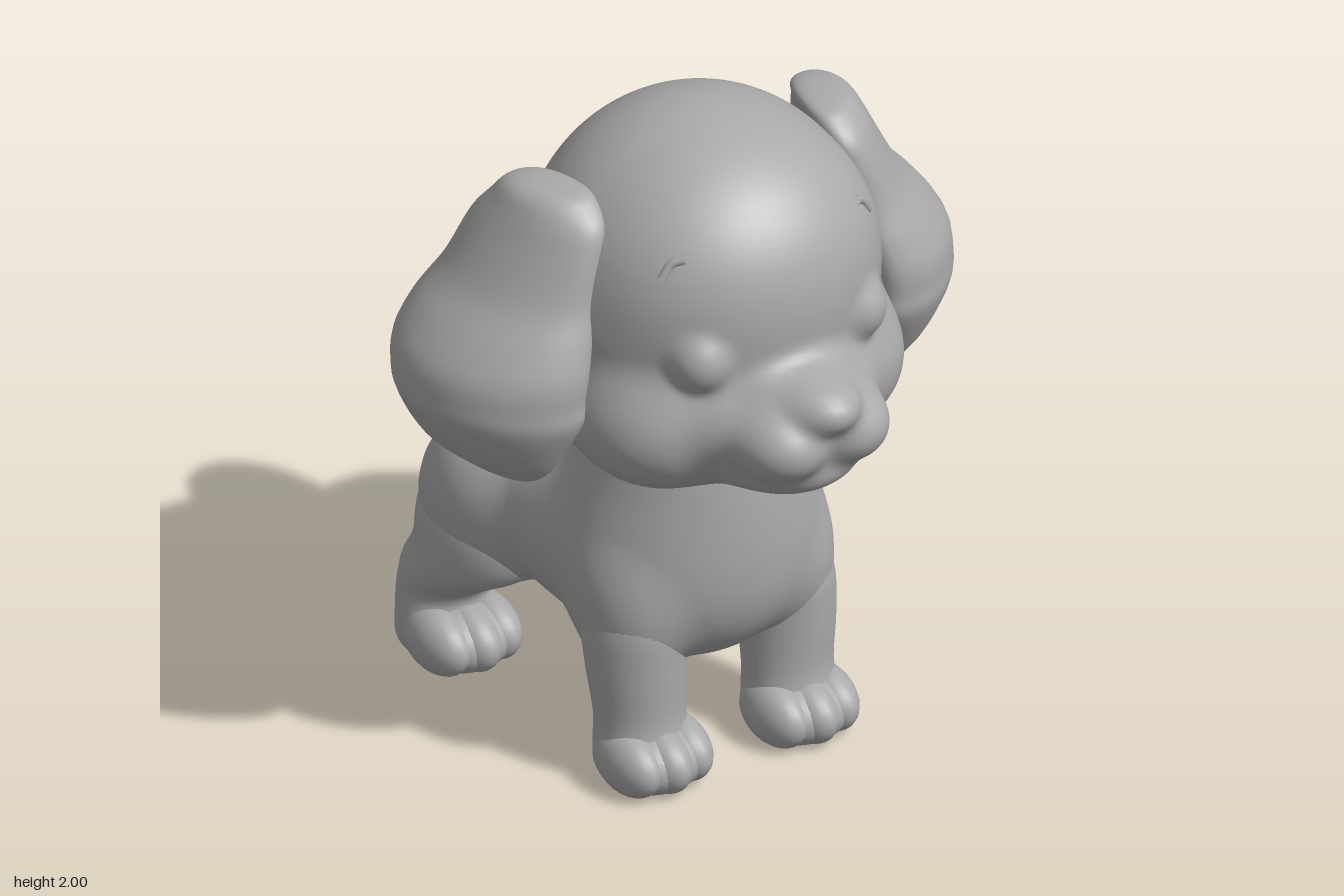
import * as THREE from 'three';
import { mergeVertices } from 'three/addons/utils/BufferGeometryUtils.js';

const clay = new THREE.MeshStandardMaterial({ color: 0xaaaaaa });
clay.name = 'grey clay';

// Smooth closed loft. Rows: [height, centreX, centreZ, radiusX, radiusZ]; side mirrors x, power < 1 squares the rings.
function loft(rows, side = 1, power = 1, segs = 40, steps = 5) {
  const centres = new THREE.CatmullRomCurve3(rows.map(r => new THREE.Vector3(side * r[1], r[0], r[2])), false, 'catmullrom', 0.5);
  const radii = new THREE.CatmullRomCurve3(rows.map(r => new THREE.Vector3(r[3], r[4], 0)), false, 'catmullrom', 0.5);
  const bend = v => Math.sign(v) * Math.abs(v) ** power;
  const n = (rows.length - 1) * steps;
  const pos = [], index = [];
  for (let i = 0; i <= n; i++) {
    const c = centres.getPoint(i / n), r = radii.getPoint(i / n);
    for (let j = 0; j < segs; j++) {
      const a = (j / segs) * Math.PI * 2;
      pos.push(c.x + Math.max(r.x, 0.0005) * bend(Math.cos(a)), c.y, c.z + Math.max(r.y, 0.0005) * bend(Math.sin(a)));
      if (i < n) {
        const p = i * segs + j, q = i * segs + (j + 1) % segs;
        index.push(p, p + segs, q, q, p + segs, q + segs);
      }
    }
  }
  const g = new THREE.BufferGeometry();
  g.setAttribute('position', new THREE.Float32BufferAttribute(pos, 3));
  g.setIndex(index);
  g.computeVertexNormals();
  return g;
}

// Distance to softly joined ellipsoids, mirrored in x. Blobs: [x, y, z, rx, ry, rz, blend].
function distance(blobs, p) {
  let d = 10;
  for (const [x, y, z, rx, ry, rz, k] of blobs) {
    const ux = (Math.abs(p.x) - x) / rx, uy = (p.y - y) / ry, uz = (p.z - z) / rz;
    const k0 = Math.hypot(ux, uy, uz), k1 = Math.hypot(ux / rx, uy / ry, uz / rz);
    const e = k0 * (k0 - 1) / Math.max(k1, 1e-6);
    const h = Math.max(k - Math.abs(d - e), 0) / k;
    d = Math.min(d, e) - h * h * k / 4;
  }
  return d;
}

// Walks inward along a direction until it meets the blended surface
function trace(blobs, centre, dir) {
  const p = new THREE.Vector3();
  let t = 1.3;
  for (let i = 0; i < 90; i++) {
    p.copy(centre).addScaledVector(dir, t);
    const d = distance(blobs, p);
    if (d < 0.0004 || t < 0.05) break;
    t -= d * 0.8;
  }
  return p;
}

// Wraps a sphere tightly around the blended ellipsoids
function wrap(blobs, centre, across, down) {
  const g = new THREE.SphereGeometry(1, across, down);
  g.deleteAttribute('normal');
  g.deleteAttribute('uv');
  const merged = mergeVertices(g, 1e-4);
  const a = merged.attributes.position, dir = new THREE.Vector3();
  for (let i = 0; i < a.count; i++) {
    const p = trace(blobs, centre, dir.fromBufferAttribute(a, i).normalize());
    a.setXYZ(i, p.x, p.y, p.z);
  }
  merged.computeVertexNormals();
  return merged;
}

// Moves every vertex by a rule
function reshape(g, rule) {
  const a = g.attributes.position, v = new THREE.Vector3();
  for (let i = 0; i < a.count; i++) {
    rule(v.fromBufferAttribute(a, i));
    a.setXYZ(i, v.x, v.y, v.z);
  }
  g.computeVertexNormals();
  return g;
}

function ball(x, y, z, rx, ry, rz) {
  return new THREE.SphereGeometry(1, 24, 18).scale(rx, ry, rz).translate(x, y, z);
}

function tube(points, radius, segs, sides) {
  return new THREE.TubeGeometry(new THREE.CatmullRomCurve3(points), segs, radius, sides);
}

const HEAD_CENTRE = new THREE.Vector3(0, 1.4, 0.2);
const HEAD = [
  [0, 1.48, 0.185, 0.49, 0.518, 0.493, 0.05],      // skull
  [0, 1.6, 0.32, 0.42, 0.36, 0.355, 0.05],         // forehead
  [0, 1.235, 0.265, 0.495, 0.302, 0.41, 0.07],     // jaw
  [0.29, 1.22, 0.39, 0.18, 0.18, 0.19, 0.1],       // cheeks
  [0, 1.25, 0.58, 0.27, 0.16, 0.24, 0.09],         // muzzle
  [0, 1.125, 0.62, 0.19, 0.085, 0.185, 0.08],      // chin
  [0, 1.35, 0.66, 0.13, 0.075, 0.2, 0.08],         // bridge
  [0.1, 1.245, 0.725, 0.128, 0.112, 0.145, 0.04],  // lips
  [0, 1.35, 0.79, 0.095, 0.07, 0.108, 0.04],       // nose
  [0.25, 1.47, 0.56, 0.088, 0.097, 0.095, 0.03],   // closed eyes
];

const BODY = [
  [0, 0.63, 0.13, 0.378, 0.35, 0.335, 0.1],        // chest
  [0, 0.93, 0.16, 0.292, 0.35, 0.295, 0.15],       // neck
  [0, 0.587, -0.12, 0.372, 0.305, 0.38, 0.1],      // belly and back
  [0, 0.588, -0.41, 0.392, 0.265, 0.285, 0.1],     // rump
  [0.24, 0.5, 0.2, 0.137, 0.22, 0.175, 0.08],      // shoulders
  [0.27, 0.5, -0.46, 0.158, 0.235, 0.23, 0.08],    // haunches
];

export function createModel() {
  const model = new THREE.Group();
  model.name = 'puppy';
  const add = (name, geometry, parent = model) => {
    const m = new THREE.Mesh(geometry, clay);
    m.name = name;
    parent.add(m);
  };

  add('head', wrap(HEAD, HEAD_CENTRE, 200, 130));
  add('body', wrap(BODY, new THREE.Vector3(0, 0.6, -0.1), 120, 90));

  // Curled tail with rounded tip
  const tail = new THREE.Group();
  tail.name = 'tail';
  model.add(tail);
  add('tailCurl', tube([
    [0.7, -0.53], [0.78, -0.67], [0.87, -0.745], [0.96, -0.767],
    [1.05, -0.735], [1.098, -0.65], [1.078, -0.565],
  ].map(([y, z]) => new THREE.Vector3(0, y, z)), 0.132, 40, 28), tail);
  add('tailTip', ball(0, 1.078, -0.562, 0.132, 0.125, 0.132), tail);

  for (const s of [1, -1]) {
    const side = s > 0 ? 'left' : 'right';

    // Brow ridge lying on the forehead
    const brow = [[0.27, 1.76, 0.52], [0.305, 1.755, 0.51], [0.33, 1.71, 0.5]].map(([x, y, z]) =>
      trace(HEAD, HEAD_CENTRE, new THREE.Vector3(s * x, y, z).sub(HEAD_CENTRE).normalize()));
    add(side + 'Brow', tube(brow, 0.013, 14, 10));

    // Hanging ear, cupped around the head with its front edge turned in
    const ear = loft([
      [1.02, 0.615, 0.19, 0, 0], [1.03, 0.62, 0.17, 0.04, 0.08], [1.065, 0.63, 0.13, 0.08, 0.16],
      [1.13, 0.65, 0.1, 0.125, 0.232], [1.24, 0.665, 0.1, 0.168, 0.288], [1.31, 0.667, 0.09, 0.173, 0.304],
      [1.39, 0.655, 0.088, 0.17, 0.308], [1.48, 0.615, 0.088, 0.15, 0.288], [1.58, 0.565, 0.095, 0.115, 0.25],
      [1.71, 0.515, 0.108, 0.093, 0.222], [1.79, 0.48, 0.125, 0.087, 0.185], [1.84, 0.455, 0.12, 0.082, 0.14],
      [1.862, 0.445, 0.13, 0.055, 0.085], [1.868, 0.445, 0.13, 0, 0],
    ], s, 0.9);
    add(side + 'Ear', reshape(ear, v => {
      const dz = v.z - 0.1;
      v.x -= s * (0.17 * dz + 0.7 * dz * dz);
    }));

    // Legs, running up inside the shoulders and haunches
    add(side + 'FrontLeg', loft([
      [0.005, 0.24, 0.26, 0, 0], [0.008, 0.24, 0.26, 0.1, 0.1], [0.04, 0.24, 0.26, 0.128, 0.13],
      [0.1, 0.24, 0.26, 0.132, 0.133], [0.2, 0.24, 0.25, 0.128, 0.122], [0.35, 0.245, 0.235, 0.135, 0.143],
      [0.5, 0.24, 0.215, 0.135, 0.165], [0.62, 0.22, 0.2, 0.1, 0.14], [0.7, 0.2, 0.18, 0, 0],
    ], s));
    add(side + 'HindLeg', loft([
      [0.005, 0.315, -0.59, 0, 0], [0.008, 0.315, -0.59, 0.1, 0.1], [0.04, 0.315, -0.59, 0.135, 0.13],
      [0.1, 0.315, -0.59, 0.14, 0.133], [0.2, 0.31, -0.6, 0.135, 0.125], [0.28, 0.305, -0.545, 0.142, 0.175],
      [0.36, 0.29, -0.475, 0.152, 0.215], [0.48, 0.275, -0.46, 0.152, 0.228], [0.6, 0.24, -0.455, 0.12, 0.18],
      [0.68, 0.22, -0.45, 0, 0],
    ], s));

    // Paws: a pad with three shallow toes, flattened against the ground
    for (const [name, px, pz] of [['Front', 0.237, 0.34], ['Hind', 0.32, -0.475]]) {
      const paw = new THREE.Group();
      paw.name = side + name + 'Paw';
      model.add(paw);
      const flatten = g => reshape(g, v => { v.y = Math.max(v.y, 0); });
      add('pad', flatten(ball(s * px, 0.08, pz - 0.02, 0.148, 0.095, 0.135)), paw);
      for (const k of [-1, 0, 1]) {
        add('toe', flatten(ball(s * (px + k * 0.082), 0.085, pz - Math.abs(k) * 0.025, 0.073, 0.093, 0.133)), paw);
      }
    }
  }
  return model;
}
